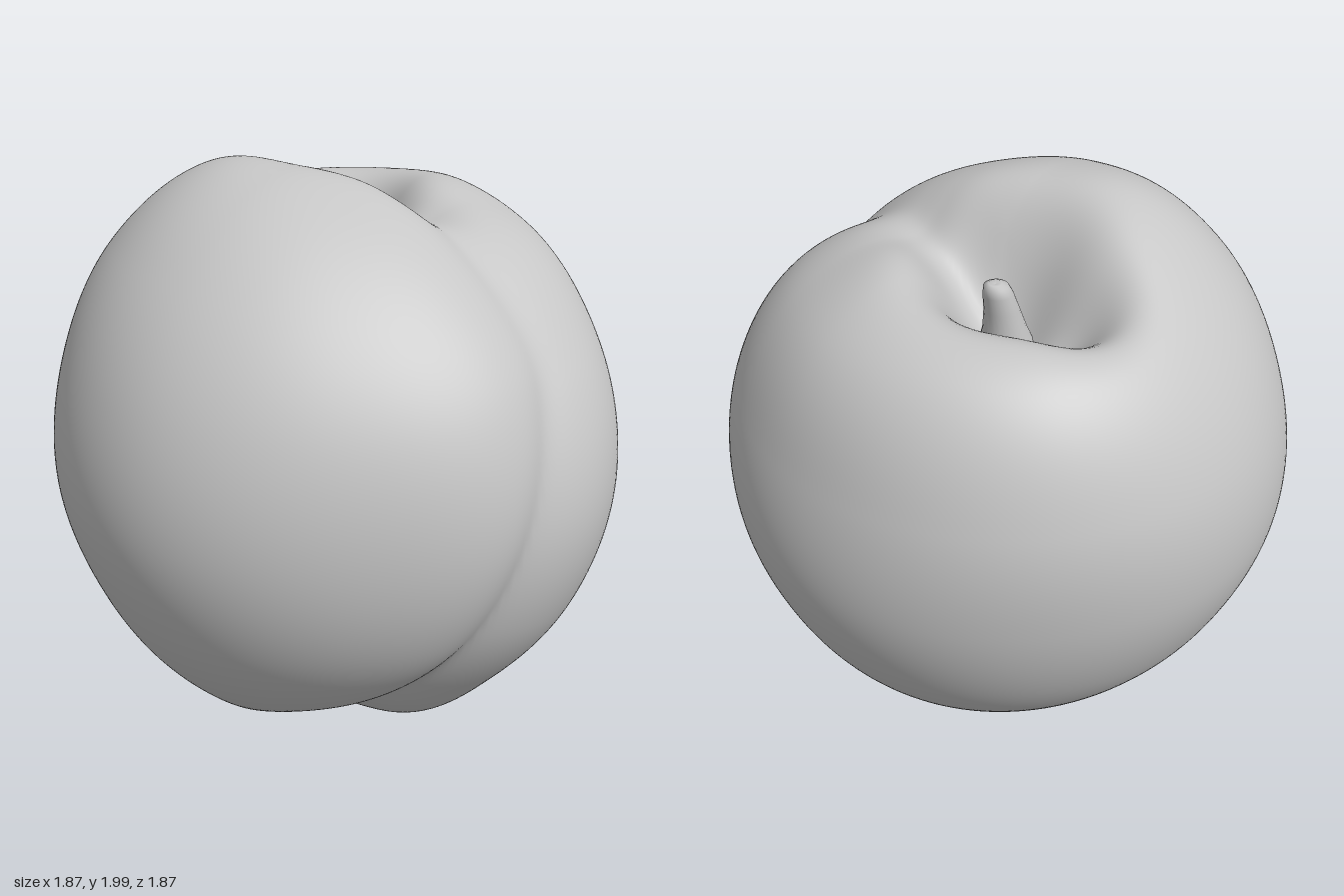
import * as THREE from 'three';
import { mergeVertices } from 'three/addons/utils/BufferGeometryUtils.js';

// Radii from the centre: one row per 45 degrees of azimuth (+x first, then
// towards +z), one column per 22.5 degrees from the top down.
const RADII = [
  [1, 0.955, 0.983, 0.957, 0.935, 0.923, 0.945, 0.978, 1],
  [1, 0.967, 0.965, 0.985, 0.995, 0.985, 0.98, 1.025, 1],
  [1, 0.977, 0.95, 0.942, 0.935, 0.935, 0.932, 0.955, 1],
  [1, 1.015, 1.0, 0.99, 0.98, 0.957, 0.957, 0.985, 1],
  [1, 1.045, 1.01, 0.96, 0.935, 0.905, 0.92, 0.947, 1],
  [1, 0.995, 1.0, 0.978, 0.94, 0.9, 0.9, 0.963, 1],
  [1, 0.968, 1.035, 0.985, 0.92, 0.89, 0.893, 0.945, 1],
  [1, 0.98, 1.02, 0.962, 0.93, 0.902, 0.915, 0.963, 1],
];

const cubic = (a, b, c, d, t) =>
  b + 0.5 * t * (c - a + t * (2 * a - 5 * b + 4 * c - d + t * (3 * (b - c) + d - a)));

// Smooth lookup in the radius table
function radiusAt(dir) {
  const u = ((Math.atan2(dir.z, dir.x) / (Math.PI / 4)) + 8) % 8;
  const v = Math.acos(THREE.MathUtils.clamp(dir.y, -1, 1)) / (Math.PI / 8);
  const i = Math.floor(u), j = Math.min(7, Math.floor(v));
  const column = (row) => {
    const r = RADII[(row + 8) % 8];
    return cubic(r[Math.abs(j - 1)], r[j], r[j + 1], r[j === 7 ? 7 : j + 2], v - j);
  };
  return cubic(column(i - 1), column(i), column(i + 1), column(i + 2), u - i);
}

const gauss = (x, z, cx, cz, w) => Math.exp(-((x - cx) ** 2 + (z - cz) ** 2) / (w * w));

// Plane of the crease, the side of the fruit that it runs down, and its lower end
const CREASE = new THREE.Vector3(0.792, -0.324, -0.519);
const CREASE_SIDE = new THREE.Vector3(0.57, 0, 0.82);
const TIP = new THREE.Vector3(-0.09, -0.89, 0.43).normalize();

function shapeFlesh(p) {
  const dir = p.clone().normalize();
  let r = radiusAt(dir);

  // Crease: bends into the cavity at the top and softens as it rises
  const s = dir.dot(CREASE) - 0.01 + 0.17 * THREE.MathUtils.smoothstep(dir.y, 0.45, 1);
  const fade = THREE.MathUtils.smoothstep(dir.dot(CREASE_SIDE), -0.03, 0.28);
  const round = 0.02 + 0.05 * THREE.MathUtils.smoothstep(dir.y, -0.1, 0.7);
  const soft = Math.hypot(s, round) - round;
  r -= 0.066 * fade * Math.exp(-soft / (s < 0 ? 0.1 : 0.17));

  // Small blossom tip at the lower end of the crease
  const tip = dir.distanceTo(TIP);
  r += 0.025 * Math.exp(-((tip / 0.07) ** 2)) - 0.02 * Math.exp(-((tip / 0.16) ** 2));

  p.copy(dir).multiplyScalar(r);
  p.y += 1;

  // Stem cavity with a trough behind it and a notch towards the crease
  if (dir.y > 0) {
    p.y -= 0.4 * gauss(p.x, p.z, 0.03, -0.22, 0.2)
      + 0.15 * gauss(p.x, p.z, -0.16, -0.4, 0.14)
      + 0.13 * gauss(p.x, p.z, 0.14, -0.04, 0.14)
      + 0.04 * gauss(p.x, p.z, 0.27, 0.1, 0.13);
  }
}

function fleshGeometry() {
  const sphere = new THREE.SphereGeometry(1, 220, 160);
  sphere.deleteAttribute('uv');
  sphere.deleteAttribute('normal');
  const geometry = mergeVertices(sphere, 1e-5);
  const pos = geometry.attributes.position;
  const p = new THREE.Vector3();
  for (let i = 0; i < pos.count; i++) {
    p.fromBufferAttribute(pos, i);
    shapeFlesh(p);
    pos.setXYZ(i, p.x, p.y, p.z);
  }
  geometry.computeVertexNormals();
  return geometry;
}

// Short leaning stem: tapered lathe profile, bent along its height
function stemGeometry() {
  const profile = [[0.12, 0], [0.09, 0.08], [0.068, 0.16], [0.054, 0.24], [0.046, 0.3],
    [0.038, 0.33], [0.02, 0.34], [0, 0.335]].map(([x, y]) => new THREE.Vector2(x, y));
  const geometry = new THREE.LatheGeometry(profile, 24);
  const pos = geometry.attributes.position;
  for (let i = 0; i < pos.count; i++) {
    const t = pos.getY(i) / 0.34;
    pos.setX(i, pos.getX(i) + 0.04 * t * t);
    pos.setZ(i, pos.getZ(i) - 0.08 * t);
  }
  geometry.computeVertexNormals();
  return geometry;
}

export function createModel() {
  const group = new THREE.Group();
  group.name = 'peach';
  const grey = new THREE.MeshStandardMaterial({ color: 0xc6c6c6 });
  grey.name = 'plain grey';

  const flesh = new THREE.Mesh(fleshGeometry(), grey);
  flesh.name = 'flesh';

  const stem = new THREE.Mesh(stemGeometry(), grey);
  stem.name = 'stem';
  stem.position.set(0.02, 1.49, -0.2);

  group.add(flesh, stem);
  return group;
}
